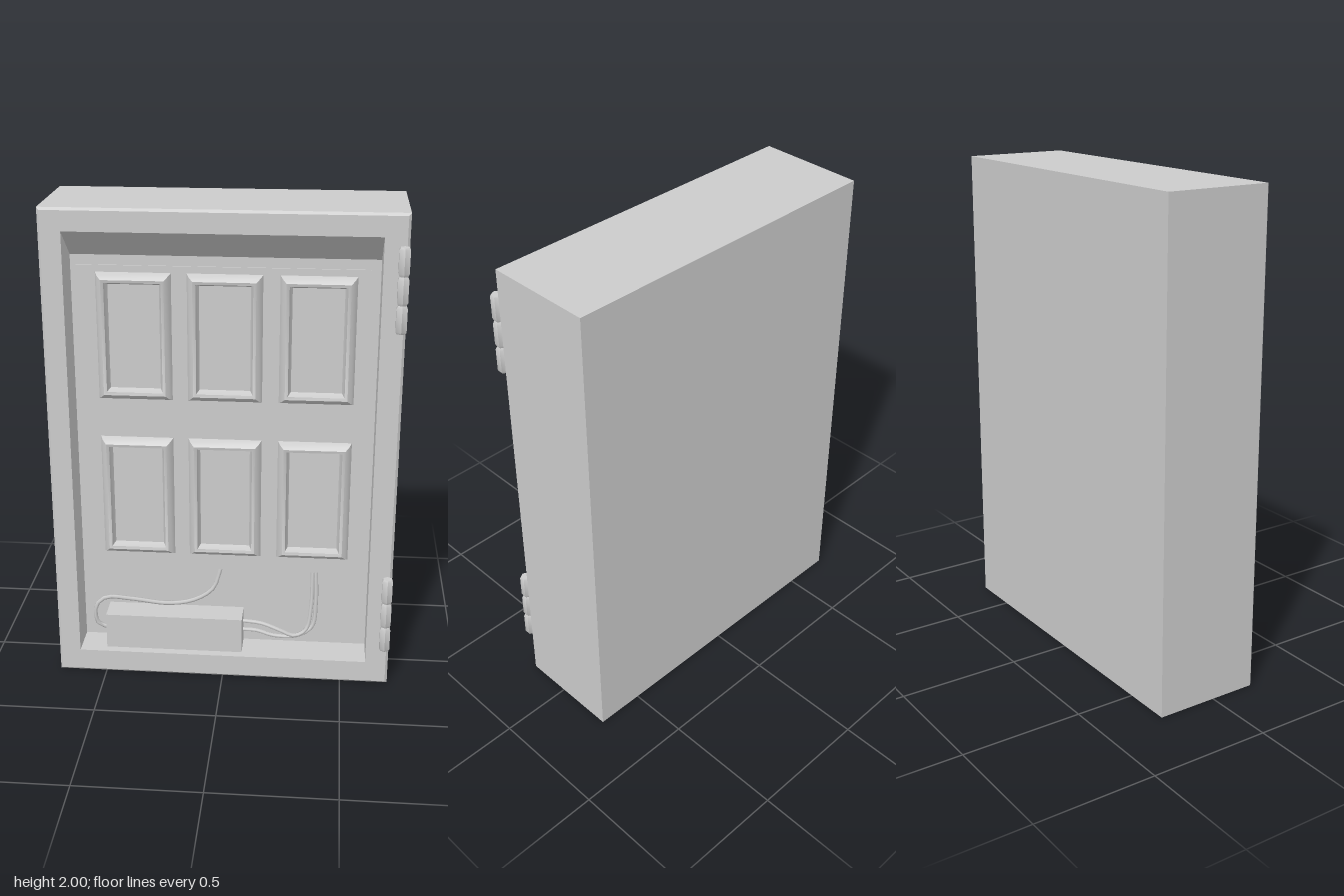
import * as THREE from 'three';
import { toCreasedNormals } from 'three/addons/utils/BufferGeometryUtils.js';

const material = new THREE.MeshStandardMaterial({ color: 0xcccccc });

function add(parent, name, geometry, x = 0, y = 0, z = 0) {
  const mesh = new THREE.Mesh(geometry, material);
  mesh.name = name;
  mesh.position.set(x, y, z);
  parent.add(mesh);
  return mesh;
}

// Skin a run of rectangles [x0, x1, y0, y1, z], going back to front and then inwards.
function rectLoft(rings) {
  const corners = rings.map(([x0, x1, y0, y1, z]) => [[x0, y0, z], [x1, y0, z], [x1, y1, z], [x0, y1, z]]);
  const isPoint = ([x0, x1, y0, y1]) => x0 === x1 && y0 === y1;
  const positions = [];
  for (let i = 0; i < rings.length - 1; i++) {
    for (let k = 0; k < 4; k++) {
      const n = (k + 1) % 4;
      const a = corners[i], b = corners[i + 1];
      if (!isPoint(rings[i])) positions.push(...a[k], ...a[n], ...b[n]);
      if (!isPoint(rings[i + 1])) positions.push(...a[k], ...b[n], ...b[k]);
    }
  }
  const geometry = new THREE.BufferGeometry();
  geometry.setAttribute('position', new THREE.Float32BufferAttribute(positions, 3));
  return toCreasedNormals(geometry, 0.7);
}

// Rounded moulding around one window: [inset, height]
const moulding = [[0, 0], [0.01, 0.022], [0.025, 0.034], [0.037, 0.03], [0.041, 0.015], [0.048, 0]];

function windowFrame(width, height) {
  const w = width / 2, h = height / 2;
  return rectLoft(moulding.map(([inset, z]) => [inset - w, w - inset, inset - h, h - inset, z]));
}

// Three knuckles separated by narrow waists
function hinge() {
  const r = 0.024, h = 0.165;
  const profile = [[0, -h], [0.019, -h], [r, -h + 0.008]];
  for (const y of [-0.055, 0.055]) profile.push([r, y - 0.012], [0.018, y], [r, y + 0.012]);
  profile.push([r, h - 0.008], [0.019, h], [0, h]);
  return toCreasedNormals(new THREE.LatheGeometry(profile.map(p => new THREE.Vector2(...p)), 6), 0.6);
}

function wire(points) {
  const curve = new THREE.CatmullRomCurve3(points.map(p => new THREE.Vector3(...p)));
  return new THREE.TubeGeometry(curve, 24, 0.009, 6);
}

export function createModel() {
  const model = new THREE.Group();
  model.name = 'cabinet';

  // Case: closed back, softened front edge, recess with a sloping top
  add(model, 'case', rectLoft([
    [0, 0, 1, 1, -0.25],
    [-0.7, 0.7, 0, 2, -0.25],
    [-0.7, 0.7, 0, 2, 0.19],
    [-0.69, 0.69, 0.01, 1.99, 0.2],
    [-0.61, 0.605, 0.1, 1.91, 0.2],
    [-0.61, 0.605, 0.1, 1.79, 0.05],
    [0, 0, 1, 1, 0.05],
  ]));

  // Inner panel carrying the windows
  const panelFront = 0.056;
  add(model, 'innerPanel', new THREE.BoxGeometry(1.154, 1.32, 0.016), -0.01, 1.09, panelFront - 0.008);

  // Two rows of three framed windows
  const frameGeometry = windowFrame(0.3, 0.525);
  for (const y of [0.77, 1.46]) {
    for (const x of [-0.362, 0, 0.367]) add(model, 'windowFrame', frameGeometry, x, y, panelFront);
  }

  // Control box standing on the floor of the recess
  add(model, 'controlBox', new THREE.BoxGeometry(0.58, 0.155, 0.12), -0.21, 0.178, 0.105);

  // Wires from the box to the panel
  const wires = new THREE.Group();
  wires.name = 'wires';
  model.add(wires);
  add(wires, 'leftWire', wire([
    [-0.49, 0.16, 0.1], [-0.545, 0.185, 0.11], [-0.55, 0.27, 0.11], [-0.51, 0.305, 0.1],
    [-0.4, 0.295, 0.085], [-0.24, 0.275, 0.075], [-0.13, 0.295, 0.07], [-0.05, 0.35, 0.065], [-0.018, 0.44, 0.055],
  ]));
  add(wires, 'upperRightWire', wire([
    [0.07, 0.207, 0.08], [0.16, 0.203, 0.09], [0.24, 0.178, 0.1], [0.3, 0.155, 0.1],
    [0.35, 0.18, 0.09], [0.37, 0.28, 0.075], [0.373, 0.44, 0.055],
  ]));
  add(wires, 'lowerRightWire', wire([
    [0.07, 0.165, 0.08], [0.14, 0.165, 0.085], [0.21, 0.147, 0.09], [0.31, 0.15, 0.09],
    [0.375, 0.19, 0.08], [0.39, 0.3, 0.07], [0.387, 0.44, 0.055],
  ]));

  // Hinge barrels on the left front edge
  const hingeGeometry = hinge();
  for (const y of [0.345, 1.715]) add(model, 'hinge', hingeGeometry, 0.68, y, 0.226);

  return model;
}
